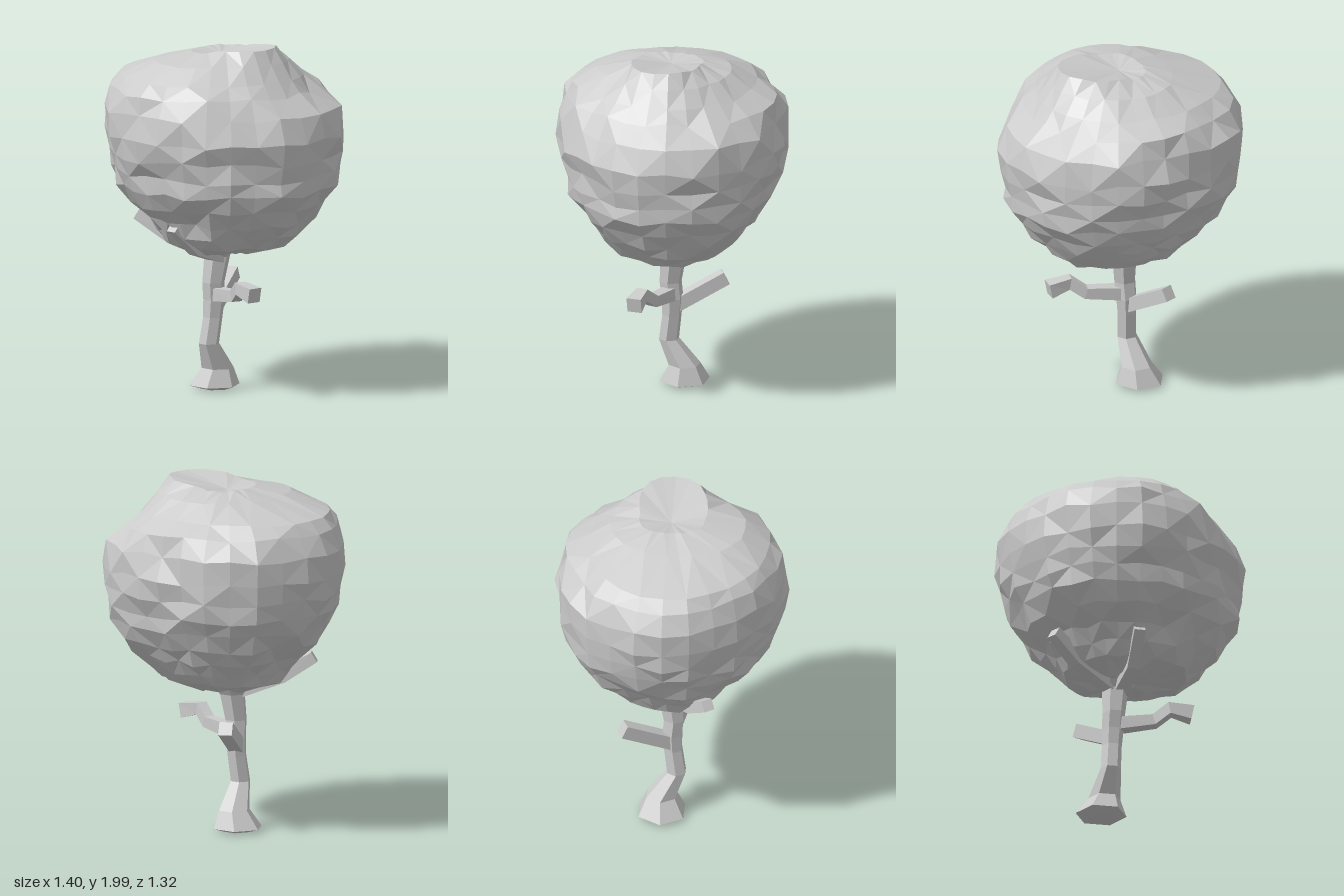
import * as THREE from 'three';

const material = new THREE.MeshStandardMaterial({ color: 0xcccccc, flatShading: true });

// Skin stacked rings of points, closing both ends with a fan to the given centres
function skin(name, rings, startCentre, endCentre) {
  const n = rings[0].length;
  const points = [...rings.flat(), startCentre, endCentre];
  const index = [];
  const start = points.length - 2, end = points.length - 1, last = (rings.length - 1) * n;
  for (let j = 0; j < n; j++) {
    const k = (j + 1) % n;
    for (let i = 0; i < rings.length - 1; i++) {
      const a = i * n + j, b = i * n + k;
      if ((i + j) % 2) index.push(a, b, b + n, a, b + n, a + n);
      else index.push(a, b, a + n, b, b + n, a + n);
    }
    index.push(start, k, j, end, last + j, last + k);
  }
  const geometry = new THREE.BufferGeometry().setFromPoints(points);
  geometry.setIndex(index);
  geometry.computeVertexNormals();
  const mesh = new THREE.Mesh(geometry, material);
  mesh.name = name;
  return mesh;
}

// Limb along a path of [x, y, z, radius]; level keeps every ring horizontal
function limb(name, path, sides, level = false) {
  const pts = path.map(p => new THREE.Vector3(p[0], p[1], p[2]));
  const rings = pts.map((p, i) => {
    const t = level ? new THREE.Vector3(0, 1, 0)
      : pts[Math.min(i + 1, pts.length - 1)].clone().sub(pts[Math.max(i - 1, 0)]).normalize();
    const ref = level ? new THREE.Vector3(1, 0, 0) : new THREE.Vector3(0, 1, 0);
    const u = ref.cross(t).normalize();
    const v = t.clone().cross(u);
    return Array.from({ length: sides }, (_, j) => {
      const a = ((j + 0.5) / sides) * Math.PI * 2;
      return p.clone().addScaledVector(u, Math.cos(a) * path[i][3]).addScaledVector(v, Math.sin(a) * path[i][3]);
    });
  });
  return skin(name, rings, pts[0].clone(), pts[pts.length - 1].clone());
}

// Faceted crown: each row is height, then radius toward +x, +z, -x, -z
function canopy() {
  const rows = [
    [0.81, 0.17, 0.17, 0.13, 0.2],
    [0.86, 0.37, 0.29, 0.31, 0.33],
    [0.93, 0.46, 0.35, 0.37, 0.39],
    [1.01, 0.53, 0.42, 0.43, 0.45],
    [1.1, 0.6, 0.51, 0.54, 0.51],
    [1.2, 0.66, 0.59, 0.6, 0.57],
    [1.29, 0.66, 0.6, 0.64, 0.6],
    [1.39, 0.67, 0.63, 0.67, 0.62],
    [1.5, 0.69, 0.65, 0.69, 0.64],
    [1.64, 0.65, 0.65, 0.69, 0.62],
    [1.75, 0.52, 0.61, 0.64, 0.58],
    [1.82, 0.47, 0.56, 0.59, 0.46],
    [1.91, 0.41, 0.42, 0.29, 0.34],
    [1.95, 0.36, 0.19, 0.13, 0.18],
  ];
  let seed = 11;
  const jitter = () => {
    seed = (seed * 16807) % 2147483647;
    return seed / 2147483647 - 0.5;
  };
  const sides = 28;
  const rings = rows.map(([y, px, pz, nx, nz], row) => Array.from({ length: sides }, (_, j) => {
    const a = (j / sides) * Math.PI * 2;
    const s = Math.sin(a), c = Math.cos(a);
    let r = (s > 0 ? px : nx) * s * s + (c > 0 ? pz : nz) * c * c;
    // Full back corners, flatter front corners, and a ledge high on the front left
    const corner = c < 0 ? 0.03 : s > 0 ? -0.03 : -0.015;
    if (y > 1 && y < 1.7) r += corner * Math.sin(2 * a) ** 2;
    r -= 0.06 * Math.exp(-(((a - 0.8) / 0.3) ** 2) - ((y - 1.87) / 0.07) ** 2);
    const calm = y > 1.8 ? 0.35 : 1;
    // The top ring lifts into a rim toward +x
    const lift = row === rows.length - 1 ? 0.045 * Math.max(0, s) : 0;
    r += jitter() * 0.04 * calm;
    return new THREE.Vector3(s * r, y + lift + jitter() * 0.03 * calm, c * r);
  }));
  return skin('canopy', rings, new THREE.Vector3(0, 0.82, 0), new THREE.Vector3(0, 1.93, 0));
}

export function createModel() {
  const tree = new THREE.Group();
  tree.name = 'tree';

  // Crooked six-sided trunk with a flared foot
  tree.add(limb('trunk', [
    [-0.1, 0, -0.045, 0.08],
    [-0.105, 0.02, -0.045, 0.145],
    [-0.085, 0.12, -0.05, 0.092],
    [-0.065, 0.27, 0.035, 0.058],
    [-0.055, 0.42, 0.015, 0.056],
    [-0.05, 0.52, 0.01, 0.062],
    [-0.045, 0.62, 0.02, 0.064],
    [-0.035, 0.77, 0.0, 0.075],
    [-0.03, 0.83, 0.0, 0.12],
  ], 6, true));

  // Bare side branches
  tree.add(limb('crookedBranch', [
    [-0.05, 0.55, 0.01, 0.055],
    [0.18, 0.575, 0.06, 0.045],
    [0.26, 0.635, 0.1, 0.048],
    [0.385, 0.61, 0.11, 0.06],
  ], 4));
  tree.add(limb('backBranch', [
    [-0.06, 0.47, 0.01, 0.055],
    [-0.185, 0.625, -0.26, 0.055],
  ], 4));

  // Boughs rising into the crown
  tree.add(limb('frontRightBough', [
    [-0.06, 0.79, 0.02, 0.06],
    [-0.28, 0.88, 0.14, 0.055],
    [-0.43, 0.99, 0.24, 0.045],
  ], 4));
  tree.add(limb('frontBough', [
    [-0.01, 0.78, 0.01, 0.06],
    [0.025, 0.84, 0.22, 0.05],
    [0.03, 0.99, 0.4, 0.045],
  ], 4));

  tree.add(canopy());
  return tree;
}
